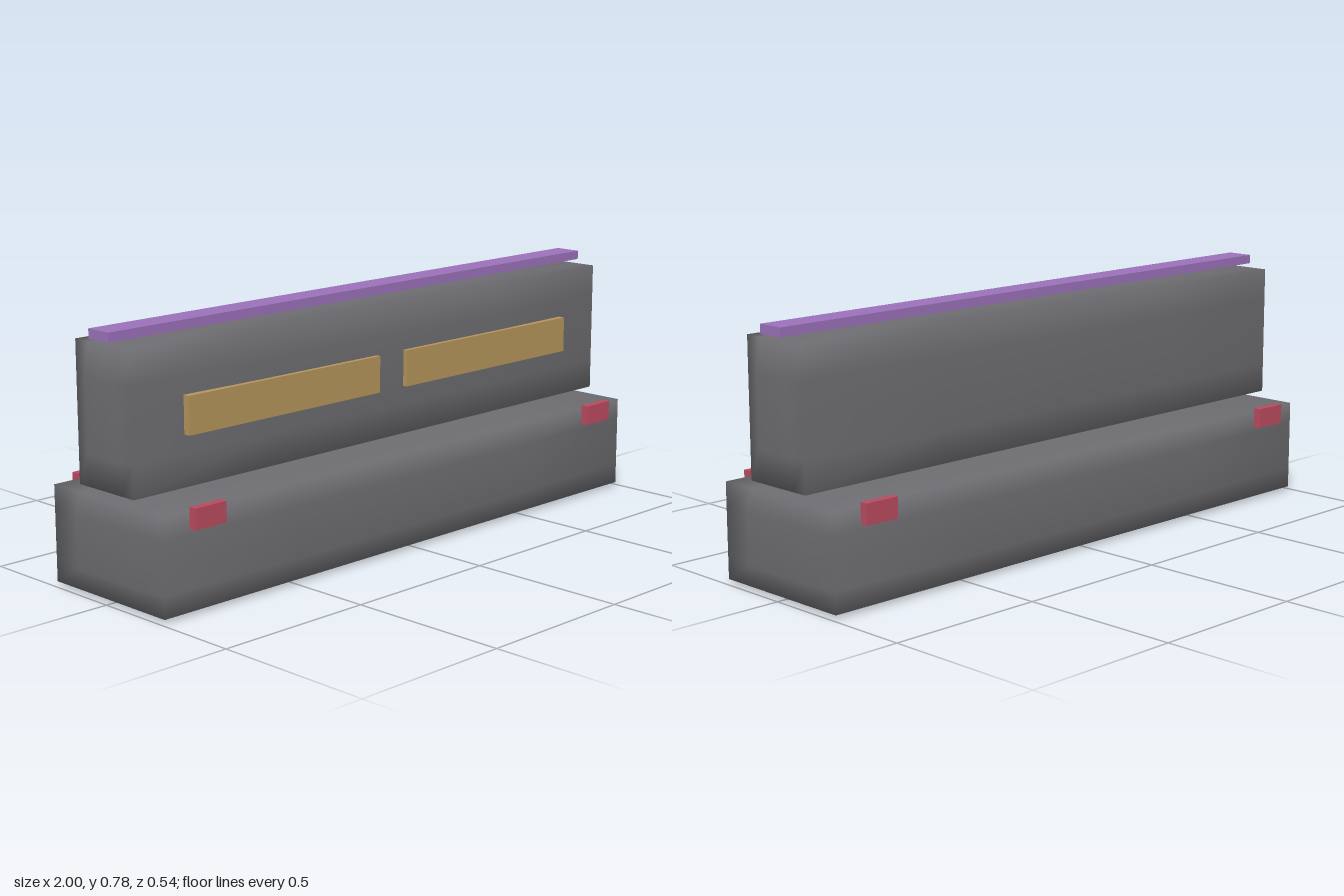
import * as THREE from 'three';
import { mergeVertices } from 'three/addons/utils/BufferGeometryUtils.js';

const material = (color) => new THREE.MeshStandardMaterial({ color });
const charcoal = material(0x6c6c70);
const amber = material(0xb3935a);
const red = material(0xb84a5e);
const purple = material(0x9a70b8);

// Box with its edges pulled slightly inwards and smooth normals all round
function cushionGeometry(w, h, d, pull = 0.012) {
  let geo = new THREE.BoxGeometry(w, h, d, 4, 4, 4);
  geo.deleteAttribute('normal');
  geo.deleteAttribute('uv');
  geo = mergeVertices(geo);
  const pos = geo.attributes.position;
  const half = [w / 2, h / 2, d / 2];
  for (let i = 0; i < pos.count; i++) {
    const p = [pos.getX(i), pos.getY(i), pos.getZ(i)];
    const atLimit = p.map((v, k) => Math.abs(v) > half[k] - 1e-4);
    if (atLimit.filter(Boolean).length < 2) continue;
    const q = p.map((v, k) => (atLimit[k] ? v - Math.sign(v) * pull : v));
    pos.setXYZ(i, ...q);
  }
  geo.computeVertexNormals();
  return geo;
}

export function createModel() {
  const model = new THREE.Group();
  model.name = 'cushionBench';

  const add = (name, geo, mat, x, y, z) => {
    const mesh = new THREE.Mesh(geo, mat);
    mesh.name = name;
    mesh.position.set(x, y, z);
    model.add(mesh);
  };

  // Wide lower block and the narrower block standing on it
  add('lowerBlock', cushionGeometry(2, 0.312, 0.5), charcoal, 0, 0.156, 0);
  add('upperBlock', cushionGeometry(2, 0.438, 0.26), charcoal, 0, 0.531, 0);

  // Strip along the top
  add('topStrip', new THREE.BoxGeometry(2, 0.028, 0.086), purple, 0, 0.764, 0);

  // Front panels, and clips on both long sides
  const panel = new THREE.BoxGeometry(0.75, 0.112, 0.024);
  const clip = new THREE.BoxGeometry(0.112, 0.062, 0.025);
  for (const [side, s] of [['left', 1], ['right', -1]]) {
    add(`${side}FrontPanel`, panel, amber, s * 0.433, 0.533, 0.133);
    add(`${side}FrontClip`, clip, red, s * 0.843, 0.282, 0.257);
    add(`${side}BackClip`, clip, red, s * 0.843, 0.282, -0.257);
  }
  return model;
}
